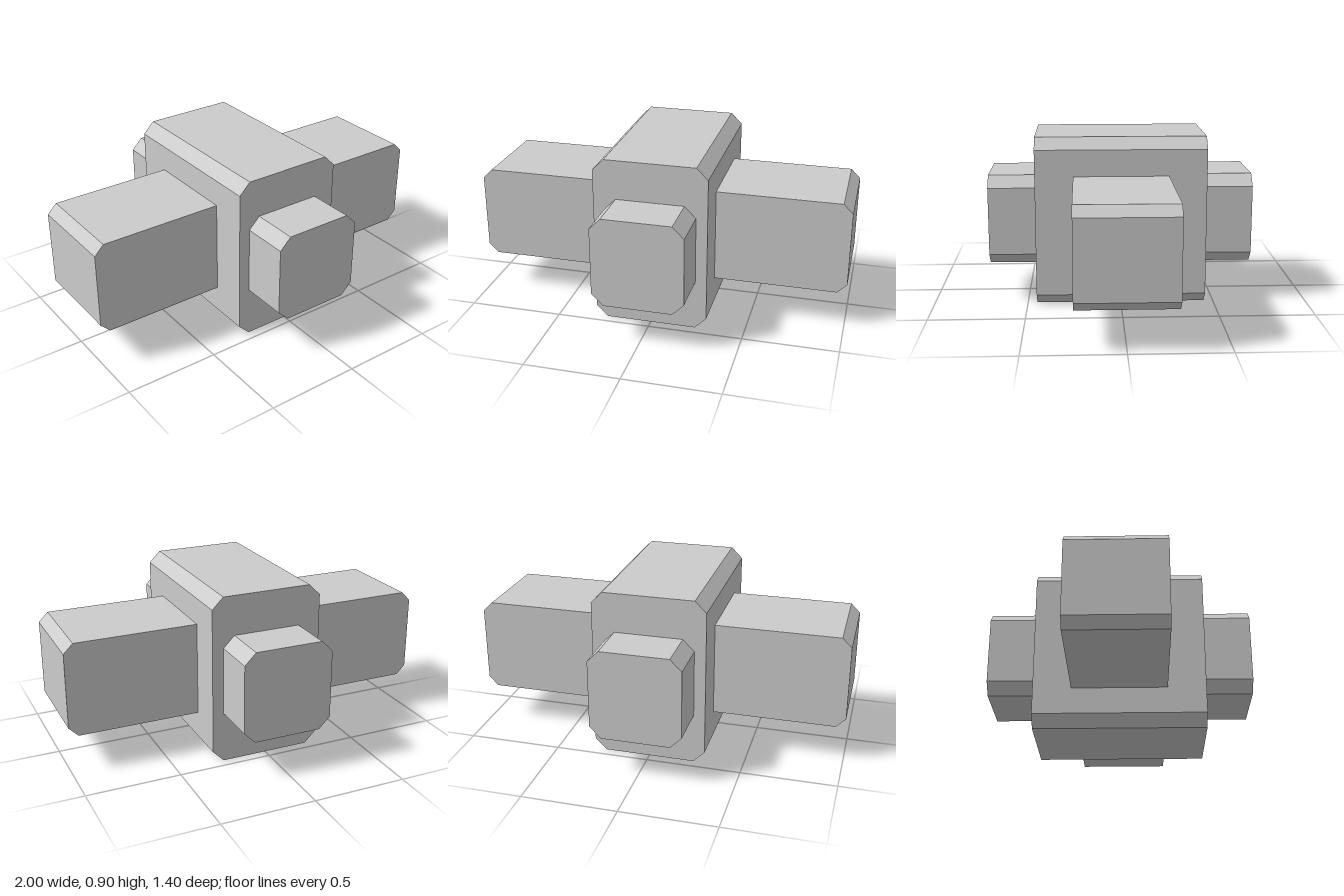
import * as THREE from 'three';

const CENTER_Y = 0.45;

// Bar running along z whose four long edges are chamfered
function chamferedBar(name, width, height, depth, chamfer, material) {
  const w = width / 2, h = height / 2, c = chamfer;
  const outline = new THREE.Shape([
    [w - c, -h], [w, -h + c], [w, h - c], [w - c, h],
    [-w + c, h], [-w, h - c], [-w, -h + c], [-w + c, -h],
  ].map(([x, y]) => new THREE.Vector2(x, y)));
  const geometry = new THREE.ExtrudeGeometry(outline, { depth, bevelEnabled: false });
  geometry.translate(0, 0, -depth / 2);
  const mesh = new THREE.Mesh(geometry, material);
  mesh.name = name;
  mesh.position.y = CENTER_Y;
  return mesh;
}

export function createModel() {
  const grey = new THREE.MeshStandardMaterial({ color: 0xcccccc });
  grey.name = 'light grey';

  const model = new THREE.Group();
  model.name = 'crossBlock';
  model.add(
    // tall central block
    chamferedBar('centralBlock', 0.6, 0.9, 0.9, 0.06, grey),
    // arms to the left and right
    chamferedBar('sideArms', 2, 0.5, 0.5, 0.05, grey),
    // stubs at the front and back
    chamferedBar('endStubs', 0.48, 0.48, 1.4, 0.06, grey),
  );
  return model;
}
